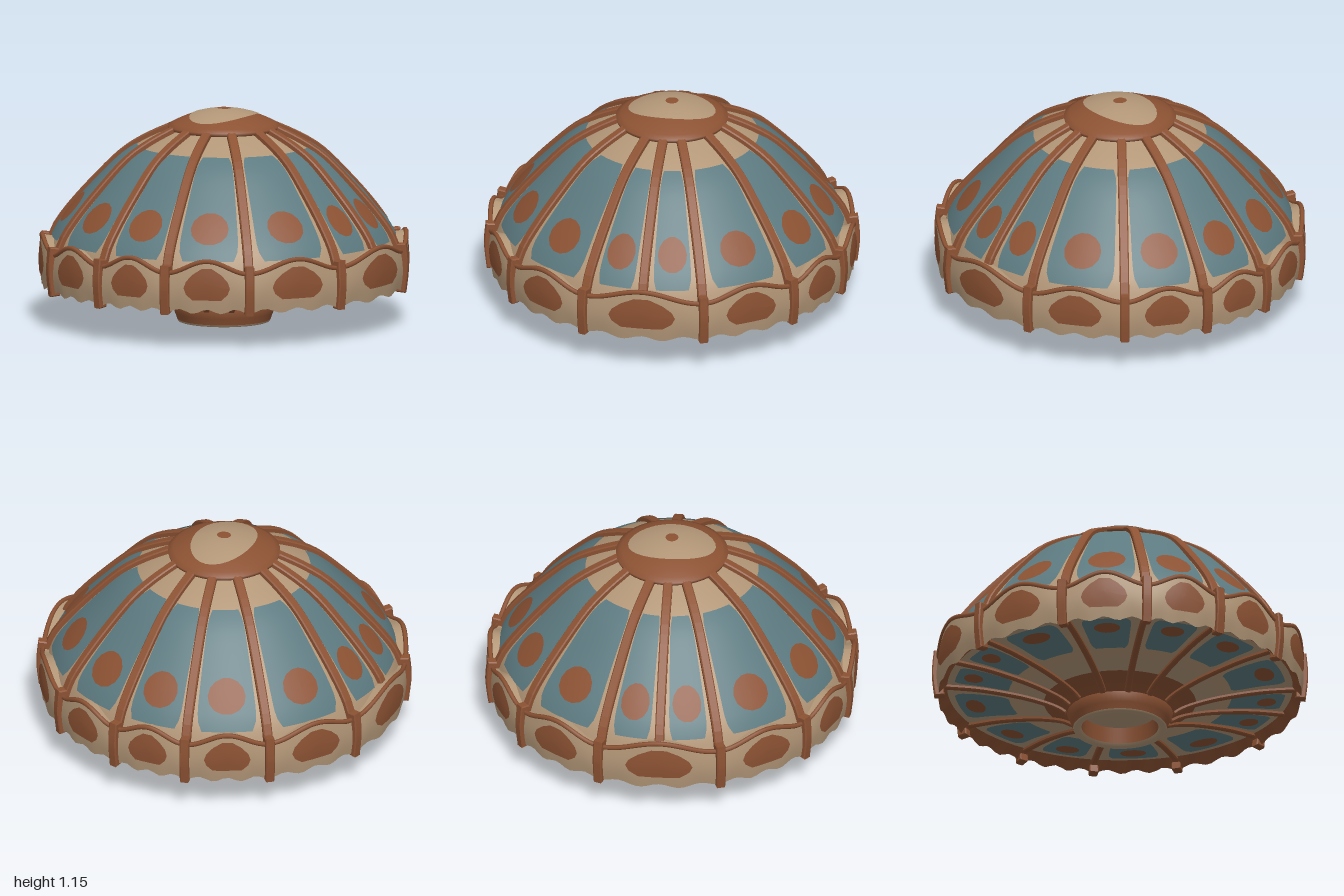
import * as THREE from 'three';

const mat = (name, color) => {
  const m = new THREE.MeshStandardMaterial({ color, side: THREE.DoubleSide });
  m.name = name;
  return m;
};
const rad = THREE.MathUtils.degToRad;
const TAU = Math.PI * 2;
const polar = (a, r, y) => new THREE.Vector3(r * Math.sin(a), y, r * Math.cos(a));

// Radius/height profiles; each one runs so that its left-hand normal faces outward
const curve = (pts) => new THREE.SplineCurve(pts.map(([r, y]) => new THREE.Vector2(r, y)));
const domeCurve = curve([[0.27, 1.04], [0.42, 0.97], [0.55, 0.885], [0.7, 0.735], [0.82, 0.6], [0.9, 0.49], [0.94, 0.39]]);
const funnelCurve = curve([[0.94, 0.25], [0.75, 0.235], [0.55, 0.2], [0.42, 0.165], [0.33, 0.13], [0.27, 0.09]]);
const bandCurve = curve([[0.966, 0.44], [0.975, 0.32], [0.962, 0.19]]);

function onProfile(c, t, off) {
  const p = c.getPointAt(t), d = c.getTangentAt(t);
  return new THREE.Vector2(p.x - d.y * off, p.y + d.x * off);
}
const profileSurface = (c) => (a, v, off = 0) => {
  const p = onProfile(c, THREE.MathUtils.clamp(v, 0, 1), off);
  return polar(a, p.x, p.y);
};
const dome = profileSurface(domeCurve);
const funnel = profileSurface(funnelCurve);

// Rib angles: twelve on the band, two more on the sides of the dome
const mirrorAngles = (list) => list.flatMap((d) => [d, 180 - d, 180 + d, 360 - d]).sort((a, b) => a - b);
const bandRibs = mirrorAngles([12.2, 39, 70.5]);
const domeRibs = [...bandRibs, 90, 270].sort((a, b) => a - b);
const panelsBetween = (ribs) => ribs.map((a, i) => {
  const b = i + 1 < ribs.length ? ribs[i + 1] : ribs[0] + 360;
  return { mid: rad((a + b) / 2), half: rad((b - a) / 2) };
});
const bandPanels = panelsBetween(bandRibs);
const domePanels = panelsBetween(domeRibs);

// Scalloped band: high in the middle of each panel, rippled along the bottom
function band(a, v, off = 0) {
  let u = 0;
  for (const p of bandPanels) {
    const d = Math.atan2(Math.sin(a - p.mid), Math.cos(a - p.mid));
    if (Math.abs(d) <= p.half + 1e-6) u = d / p.half;
  }
  const top = 0.44 + 0.035 * Math.cos(Math.PI * u);
  const bottom = 0.203 + 0.012 * Math.cos(3 * Math.PI * u);
  const r = 0.966 + 0.012 * Math.sin(Math.PI * v) + 0.006 * (1 - u * u);
  return polar(a, r + off, THREE.MathUtils.lerp(top, bottom, v));
}

// Grid of points f(u, v) with u, v in 0..1
function grid(nu, nv, f) {
  const pos = [], index = [];
  for (let j = 0; j <= nv; j++)
    for (let i = 0; i <= nu; i++) pos.push(...f(i / nu, j / nv).toArray());
  for (let j = 0; j < nv; j++)
    for (let i = 0; i < nu; i++) {
      const a = j * (nu + 1) + i, b = a + nu + 1;
      index.push(a, b, a + 1, a + 1, b, b + 1);
    }
  const g = new THREE.BufferGeometry();
  g.setAttribute('position', new THREE.Float32BufferAttribute(pos, 3));
  g.setIndex(index);
  g.computeVertexNormals();
  return g;
}
const around = (surface, v0 = 0, v1 = 1, n = 24) =>
  grid(192, n, (u, v) => surface(u * TAU, THREE.MathUtils.lerp(v0, v1, v)));

// Oval laid on a surface
const oval = (surface, mid, v0, halfAngle, halfV, off) => grid(14, 4, (u, k) =>
  surface(mid + k * halfAngle * Math.cos(u * TAU), v0 - k * halfV * Math.sin(u * TAU), off));

// Tapered pane laid on a surface, with softened corners
const pane = (surface, mid, halfAngle, v0, v1, off) => grid(8, 14, (u, v) => {
  const soften = 1 - 0.18 * Math.pow(Math.abs(2 * v - 1), 8);
  return surface(mid + (2 * u - 1) * halfAngle * soften, THREE.MathUtils.lerp(v0, v1, v), off);
});

// Rib: strip following a profile, given a width
function ribGeometry(c, width, outer, inner, t0 = 0, t1 = 1) {
  const n = 18, out = [], back = [];
  for (let i = 0; i <= n; i++) {
    const t = THREE.MathUtils.lerp(t0, t1, i / n);
    out.push(onProfile(c, t, outer));
    back.unshift(onProfile(c, t, -inner));
  }
  const g = new THREE.ExtrudeGeometry(new THREE.Shape([...out, ...back]), {
    depth: width - 0.012, bevelEnabled: true, bevelSize: 0.006, bevelThickness: 0.006, bevelSegments: 1,
  });
  return g.translate(0, 0, -(width - 0.012) / 2);
}

export function createModel() {
  const brown = mat('copper brown', 0x8c5233);
  const beige = mat('warm beige', 0xb29677);
  const blue = mat('slate blue', 0x5c7a80);
  const model = new THREE.Group();
  model.name = 'lampshade';
  const add = (name, geometry, material, parent = model) => {
    const m = new THREE.Mesh(geometry, material);
    m.name = name;
    parent.add(m);
    return m;
  };
  const group = (name) => {
    const g = new THREE.Group();
    g.name = name;
    model.add(g);
    return g;
  };
  const addRibs = (name, angles, geometry) => {
    const g = group(name + 's');
    for (const d of angles) add(name, geometry, brown, g).rotation.y = rad(d) - Math.PI / 2;
  };
  const lathe = (pts) => new THREE.LatheGeometry(pts.map(([r, y]) => new THREE.Vector2(r, y)), 64);

  // Dome with blue panes and brown ovals
  add('domeShell', around(dome), beige);
  const panes = group('domePanes');
  for (const { mid, half } of domePanels) {
    const w = half * (half < 0.19 ? 0.68 : 0.78);
    add('domePane', pane(dome, mid, w, 0.22, 0.92, 0.005), blue, panes);
    add('domeOval', oval(dome, mid, 0.72, Math.min(0.1, half * 0.45) / 0.8, 0.105, 0.01), brown, panes);
  }
  addRibs('domeRib', domeRibs, ribGeometry(domeCurve, 0.05, 0.02, 0.015));

  // Scalloped band around the rim
  add('band', around(band), beige);
  add('bandLedge', grid(192, 2, (u, v) => {
    const p = band(u * TAU, 0);
    return p.lerp(polar(u * TAU, 0.91, p.y - 0.01), v);
  }), beige);
  add('bandUnderside', grid(192, 2, (u, v) =>
    band(u * TAU, 1).lerp(polar(u * TAU, 0.92, 0.25), v)), brown);
  const edge = [];
  for (let i = 0; i < 144; i++) edge.push(band((i / 144) * TAU, 0));
  add('bandTrim', new THREE.TubeGeometry(new THREE.CatmullRomCurve3(edge, true), 288, 0.013, 6, true), brown);
  const ovals = group('bandOvals');
  for (const { mid, half } of bandPanels)
    add('bandOval', oval(band, mid, 0.46, half * 0.54, 0.33, 0.005), brown, ovals);
  addRibs('bandRib', bandRibs, ribGeometry(bandCurve, 0.05, 0.022, 0.02));

  // Shallow funnel underneath, patterned like the dome
  add('funnelOuter', around(funnel, 0, 0.78), beige);
  add('funnelCollar', around(funnel, 0.78, 1, 8), brown);
  const lower = group('funnelPanes');
  for (const { mid, half } of domePanels) {
    add('funnelPane', pane(funnel, mid, half * 0.68, 0.08, 0.5, 0.005), blue, lower);
    add('funnelOval', oval(funnel, mid, 0.21, half * 0.38, 0.075, 0.01), brown, lower);
  }
  addRibs('funnelRib', domeRibs, ribGeometry(funnelCurve, 0.035, 0.012, 0.01, 0.02, 0.97));

  // Base ring with its recessed opening
  add('baseRing', lathe([[0.25, 0.01], [0.262, 0.045], [0.282, 0.095], [0.26, 0.11]]), brown);
  add('baseLip', lathe([[0.205, 0.015], [0.215, 0], [0.245, 0], [0.25, 0.01]]), beige);
  add('baseInnerWall', lathe([[0.195, 0.1], [0.205, 0.015]]), brown);
  add('baseFloor', lathe([[0, 0.1], [0.195, 0.1]]), beige);

  // Cap with a pale oval and a small central spot
  const capY = (r) => 1.14 - 0.085 * (r / 0.3) ** 2;
  const capPoints = [[0.26, 1.03], [0.295, 1.037], [0.3, 1.055]];
  for (let i = 9; i >= 0; i--) capPoints.push([i * 0.03, capY(i * 0.03)]);
  add('cap', lathe(capPoints), brown);
  const capPatch = (rx, rz, off) => grid(28, 6, (u, k) => {
    const x = rx * k * Math.cos(u * TAU), z = rz * k * Math.sin(u * TAU);
    return new THREE.Vector3(x, capY(Math.hypot(x, z)) + off, z);
  });
  add('capOval', capPatch(0.165, 0.235, 0.004), beige);
  add('capSpot', capPatch(0.038, 0.034, 0.007), brown);

  return model;
}
